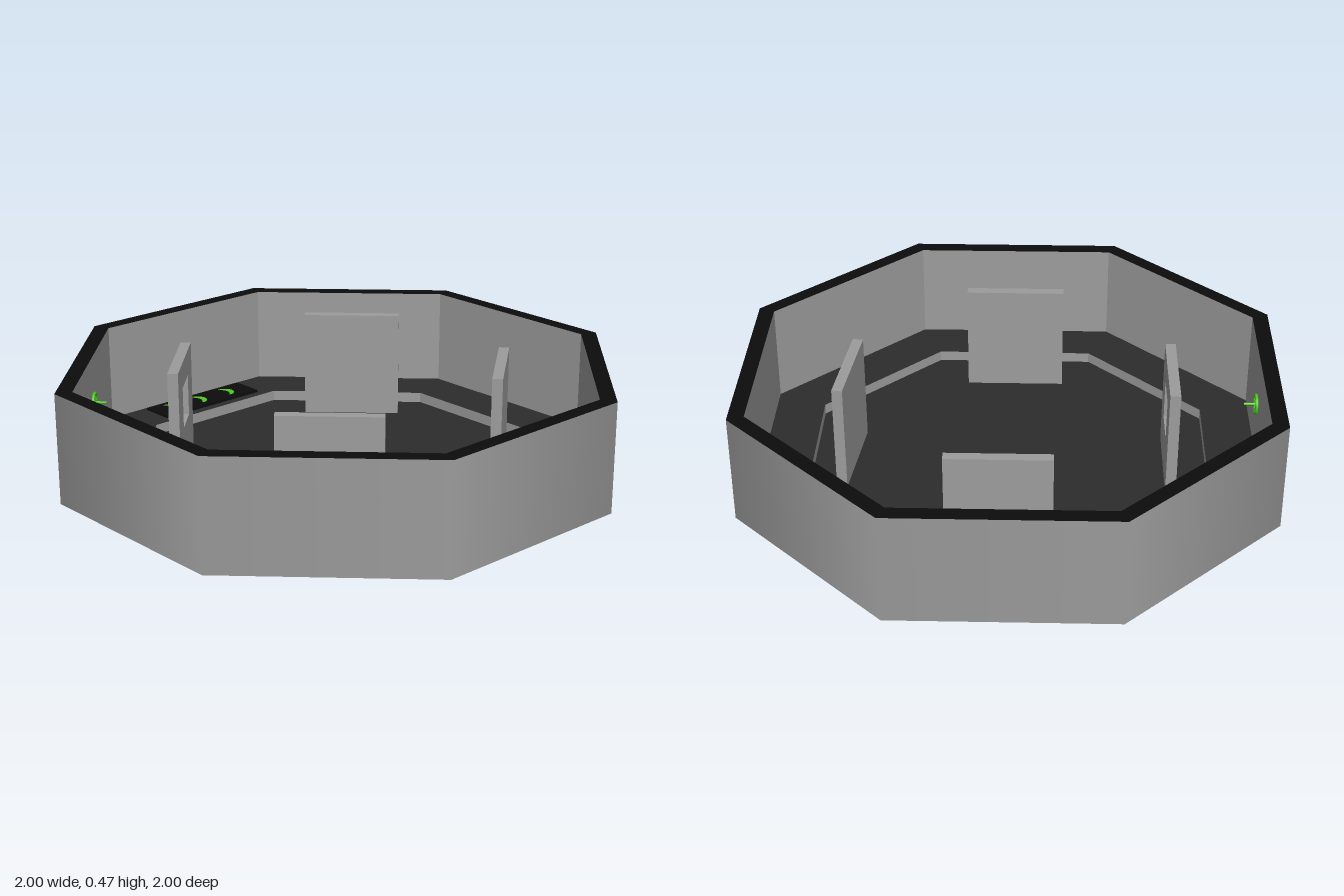
import * as THREE from 'three';

const BASE = 0.045, LEDGE = 0.09, TOP = 0.47;
const OUTER = 1, INNER = 0.94, PIT = 0.75; // octagon apothems

export function createModel() {
  const root = new THREE.Group();
  const material = (name, color) => {
    const m = new THREE.MeshStandardMaterial({ color, side: THREE.DoubleSide });
    m.name = name;
    return m;
  };
  const grey = material('concrete grey', 0x9c9c9c);
  const dark = material('floor charcoal', 0x2c2c2c);
  const black = material('rim black', 0x0c0c0c);
  const green = material('signal green', 0x4ecb20);

  const add = (name, geometry, mat, x = 0, y = 0, z = 0, parent = root) => {
    const mesh = new THREE.Mesh(geometry, mat);
    mesh.name = name;
    mesh.position.set(x, y, z);
    parent.add(mesh);
    return mesh;
  };

  // Octagon outline with flat sides on the axes
  const octagon = (a, Type = THREE.Shape) => {
    const r = a / Math.cos(Math.PI / 8);
    return new Type(Array.from({ length: 8 }, (_, i) => {
      const t = Math.PI / 8 + (i * Math.PI) / 4;
      return new THREE.Vector2(r * Math.cos(t), r * Math.sin(t));
    }));
  };
  const flatPlate = (a, hole) => {
    const shape = octagon(a);
    if (hole) shape.holes.push(octagon(hole, THREE.Path));
    return new THREE.ShapeGeometry(shape).rotateX(-Math.PI / 2);
  };
  const wall = (a, y0, y1, smooth) => {
    const r = a / Math.cos(Math.PI / 8);
    let g = new THREE.CylinderGeometry(r, r, y1 - y0, 8, 1, true, Math.PI / 8);
    if (!smooth) {
      g = g.toNonIndexed();
      g.computeVertexNormals();
    }
    return g.translate(0, (y0 + y1) / 2, 0);
  };

  // Enclosure
  add('outerWall', wall(OUTER, BASE, TOP, true), grey);
  add('innerWall', wall(INNER, LEDGE, TOP, false), grey);
  add('rim', flatPlate(OUTER, INNER), black, 0, TOP);
  add('underside', flatPlate(OUTER).rotateX(Math.PI), grey, 0, BASE);
  add('pitEdgeAndFootLip', wall(PIT, 0, LEDGE, false), grey);
  add('pitFloor', flatPlate(PIT), dark, 0, BASE + 0.004);
  add('ledge', flatPlate(INNER, PIT), dark, 0, LEDGE);

  // Four standing cover walls, one with a square window
  const L = 0.385, T = 0.04, H = TOP - BASE;
  const covers = [
    ['coverBackRight', -0.415, -0.445, Math.PI / 4, true],
    ['coverBackLeft', 0.46, -0.425, -Math.PI / 4, false],
    ['coverFrontRight', -0.42, 0.41, -Math.PI / 4, false],
    ['coverFrontLeft', 0.44, 0.42, 0.68, false],
  ];
  for (const [name, x, z, turn, window] of covers) {
    const s = new THREE.Shape();
    s.moveTo(-L / 2, 0).lineTo(L / 2, 0).lineTo(L / 2, H).lineTo(-L / 2, H).closePath();
    if (window) {
      const h = new THREE.Path();
      h.moveTo(-0.078, 0.17).lineTo(-0.078, 0.33).lineTo(0.078, 0.33).lineTo(0.078, 0.17).closePath();
      s.holes.push(h);
    }
    const g = new THREE.ExtrudeGeometry(s, { depth: T, bevelEnabled: false }).translate(0, 0, -T / 2);
    add(name, g, grey, x, BASE, z).rotation.y = turn;
  }

  // Floor sign with three curved arrows
  add('signPanel', new THREE.BoxGeometry(0.48, 0.009, 0.135), black, 0.01, LEDGE + 0.0045, -0.853);
  const arrow = new THREE.Shape();
  arrow.moveTo(-0.024, 0.04);
  arrow.lineTo(-0.004, 0.04);
  arrow.quadraticCurveTo(0.046, 0, -0.004, -0.04);
  arrow.lineTo(-0.024, -0.04);
  arrow.quadraticCurveTo(0.014, 0, -0.024, 0.04);
  const arrowGeo = new THREE.ShapeGeometry(arrow).rotateX(-Math.PI / 2);
  for (const x of [-0.145, 0, 0.145]) add('signArrow', arrowGeo, green, x, LEDGE + 0.012, -0.853);

  // Small hand wheel on the diagonal wall
  const wheel = new THREE.Group();
  wheel.name = 'handWheel';
  wheel.position.set(-0.672, 0.3, -0.645);
  wheel.rotation.y = Math.PI / 4;
  root.add(wheel);
  add('wheelRing', new THREE.TorusGeometry(0.036, 0.006, 6, 20), green, 0, 0, 0, wheel);
  add('wheelSpoke', new THREE.BoxGeometry(0.07, 0.008, 0.008), green, 0, 0, 0, wheel);
  add('wheelSpoke', new THREE.BoxGeometry(0.008, 0.07, 0.008), green, 0, 0, 0, wheel);
  add('wheelStem', new THREE.CylinderGeometry(0.005, 0.005, 0.045, 8).rotateX(Math.PI / 2), green, 0, 0, 0.022, wheel);

  return root;
}
